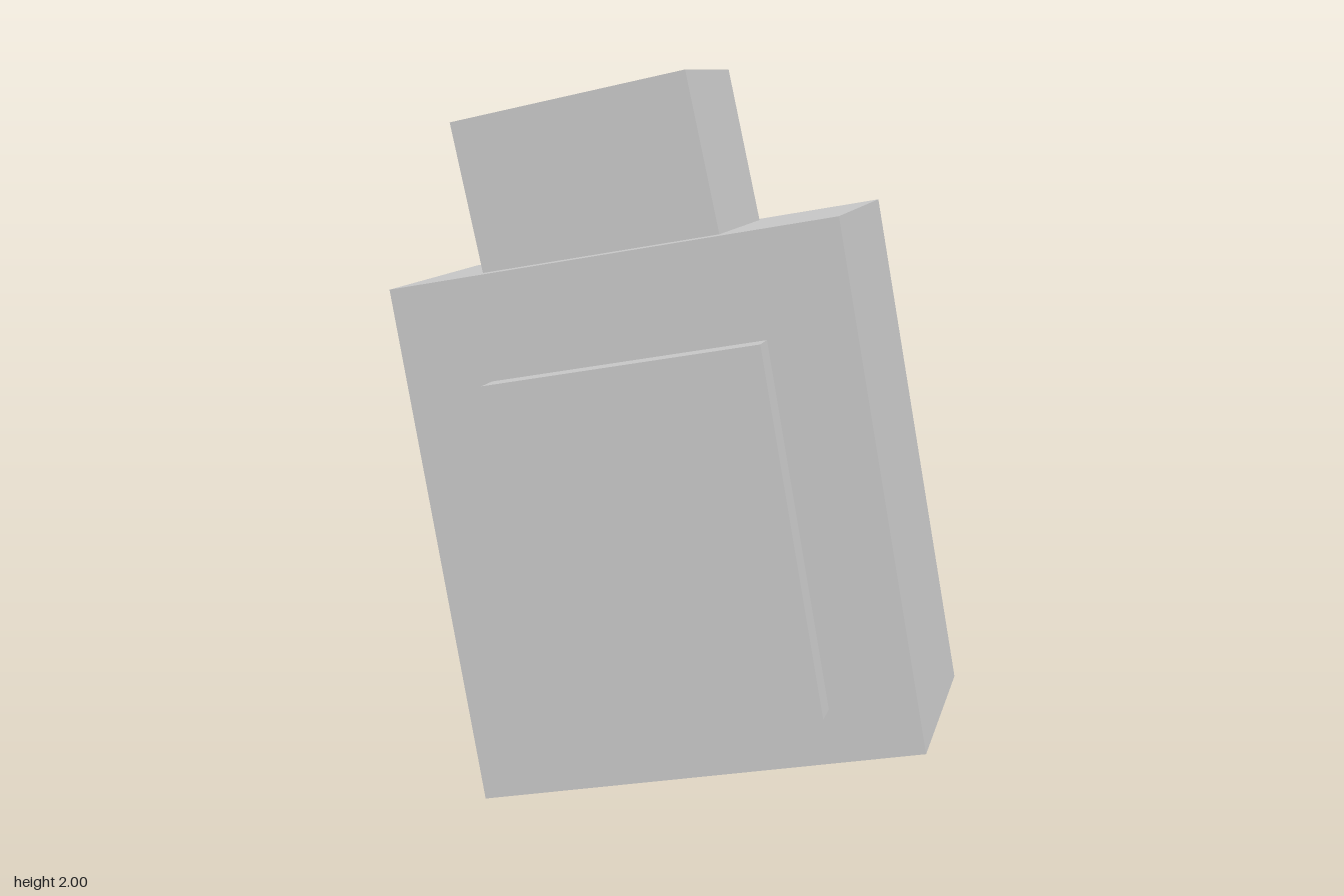
import * as THREE from 'three';

export function createModel() {
  const model = new THREE.Group();
  model.name = 'bottle';
  const grey = new THREE.MeshStandardMaterial({ color: 0xcccccc });
  grey.name = 'light grey';

  // A box given by size and centre, tilted in the front plane
  function tiltedBox(name, size, centre, degrees) {
    const mesh = new THREE.Mesh(new THREE.BoxGeometry(...size), grey);
    mesh.name = name;
    mesh.position.set(...centre);
    mesh.rotation.z = THREE.MathUtils.degToRad(degrees);
    model.add(mesh);
  }

  tiltedBox('body', [1.24, 1.436, 0.765], [0, 0.815, -0.0475], 10);
  // Cap leans slightly more and is sunk into the body
  tiltedBox('cap', [0.665, 0.5, 0.574], [-0.212, 1.686, -0.05], 12.2);
  // Raised panel on the front
  tiltedBox('frontPanel', [0.762, 1.0, 0.115], [0.0125, 0.747, 0.3725], 10);

  return model;
}
